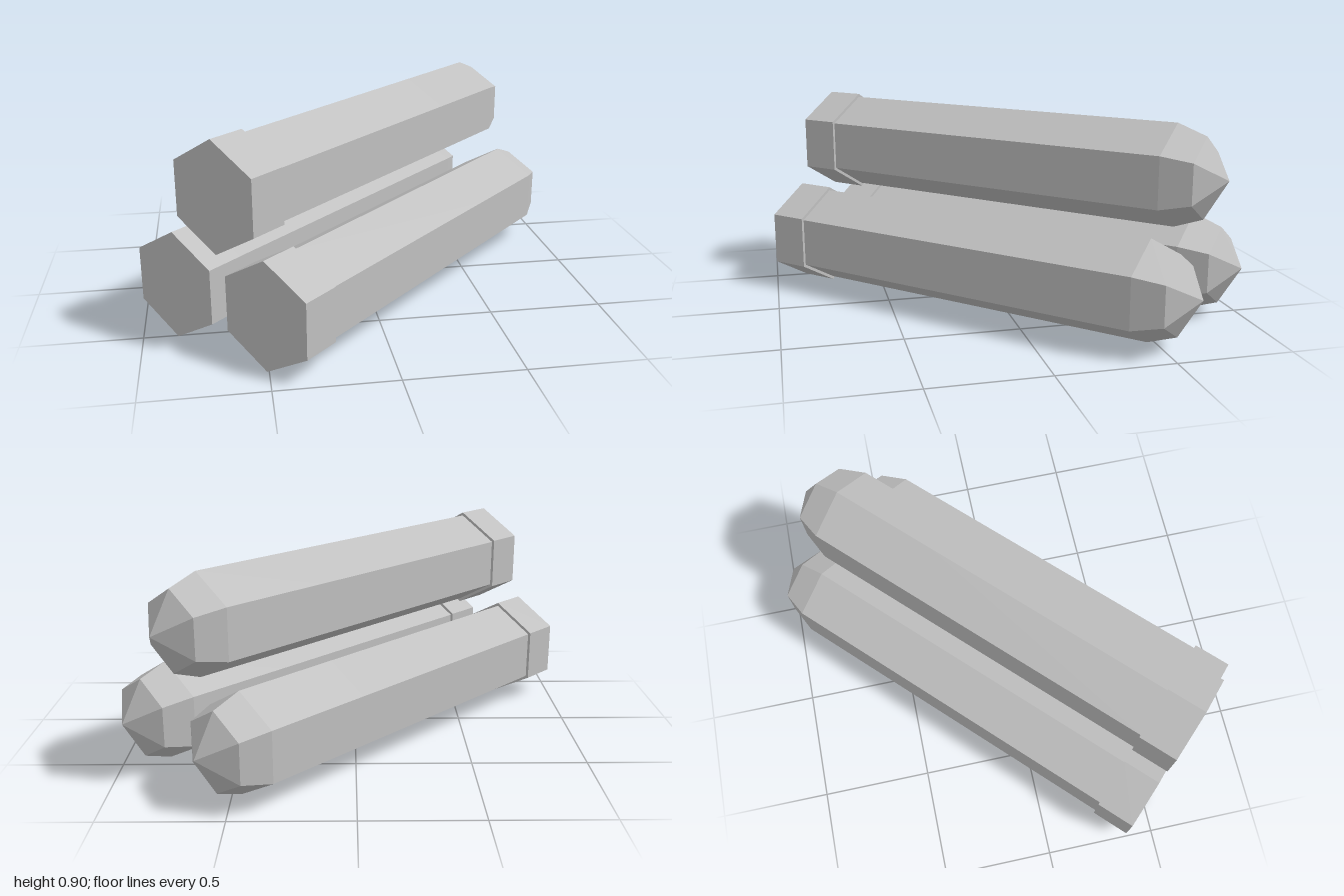
import * as THREE from 'three';

export function createModel() {
  const model = new THREE.Group();
  model.name = 'cartridgeStack';
  const grey = new THREE.MeshStandardMaterial({ color: 0xc0c0c0, flatShading: true });
  grey.name = 'grey metal';

  // Six-sided section along -z with a corner pointing up
  function section(name, start, end, r0, r1, open) {
    const geo = new THREE.CylinderGeometry(r1, r0, end - start, 6, 1, open);
    geo.translate(0, (start + end) / 2, 0);
    geo.rotateX(-Math.PI / 2);
    const mesh = new THREE.Mesh(geo, grey);
    mesh.name = name;
    return mesh;
  }

  // One cartridge, its base at the origin
  function cartridge(name, x, y, z) {
    const g = new THREE.Group();
    g.name = name;
    g.add(
      section('rim', 0, 0.177, 0.235, 0.235, false),
      section('casing', 0.177, 1.358, 0.22, 0.22, true),
      section('bulletBody', 1.358, 1.853, 0.22, 0.22, true),
      section('bulletShoulder', 1.853, 1.98, 0.22, 0.173, true),
      section('bulletTip', 1.98, 2.08, 0.173, 0, true)
    );
    g.position.set(x, y, z);
    g.rotation.y = -Math.PI / 4;
    return g;
  }

  // Two lie side by side, the third rests on top
  model.add(
    cartridge('lowerBackCartridge', -0.856, 0.235, 0.507),
    cartridge('lowerFrontCartridge', -0.508, 0.235, 0.856),
    cartridge('upperCartridge', -0.683, 0.667, 0.682)
  );
  return model;
}
